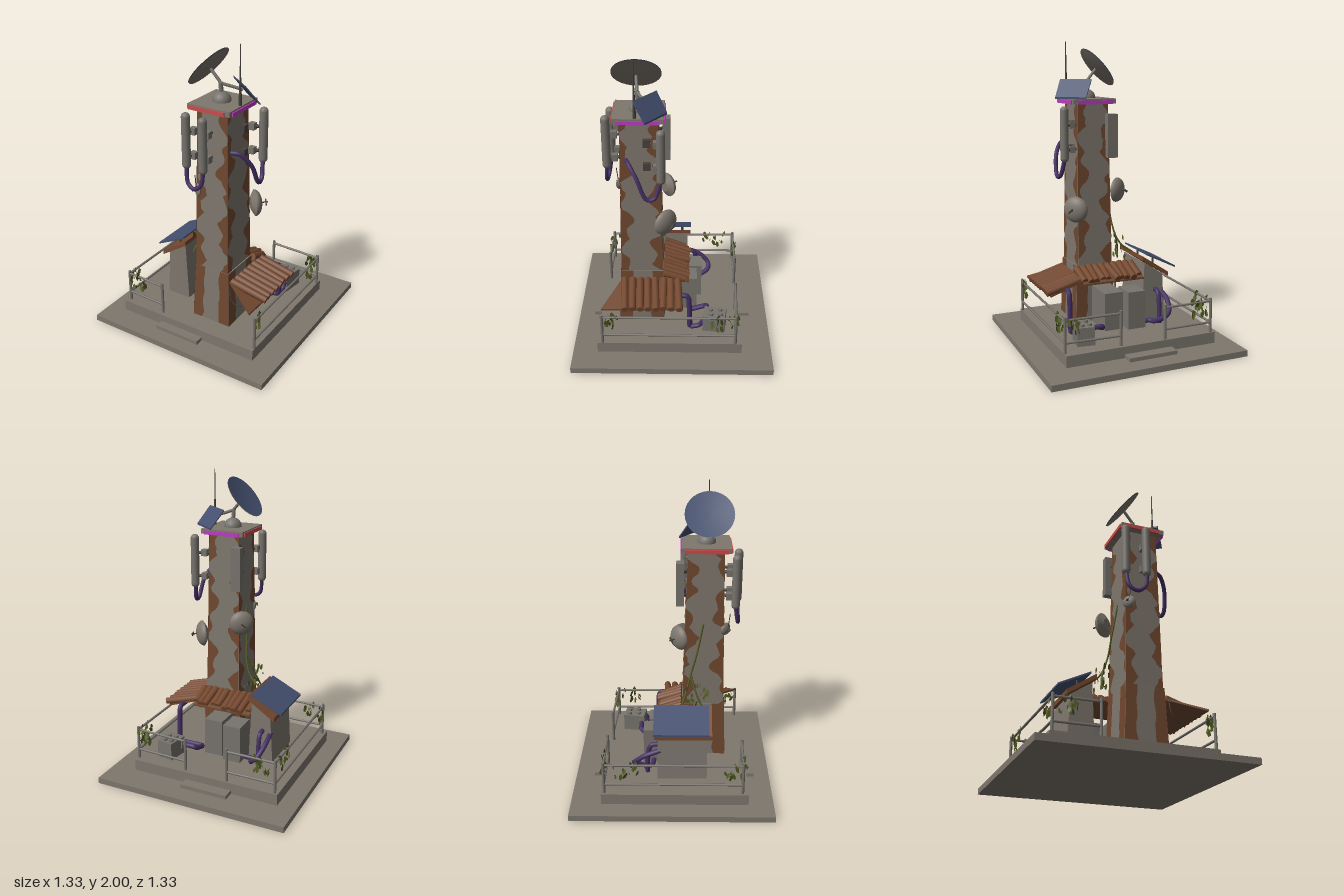
import * as THREE from 'three';
import { ConvexGeometry } from 'three/addons/geometries/ConvexGeometry.js';
import { mergeGeometries } from 'three/addons/utils/BufferGeometryUtils.js';

export function createModel() {
  const root = new THREE.Group();
  root.name = 'radioTower';
  const V = (a) => new THREE.Vector3(...a);
  const UP = V([0, 1, 0]);
  const mat = (name, color, double) => {
    const m = new THREE.MeshStandardMaterial({ color });
    m.name = name;
    if (double) m.side = THREE.DoubleSide;
    return m;
  };
  const concrete = mat('concrete', 0x7e776e, true), metal = mat('metal', 0x77736d);
  const rust = mat('rust', 0x70482f, true), roofBrown = mat('roofBrown', 0x774a30);
  const solar = mat('solarBlue', 0x44506f, true), purple = mat('cablePurple', 0x453064);
  const green = mat('leafGreen', 0x505a20, true), red = mat('redTrim', 0xc84c4c);
  const magenta = mat('magentaTrim', 0xbc3cc0), dark = mat('darkMetal', 0x45423f);
  let seed = 7;
  const rnd = () => (seed = (seed * 16807) % 2147483647) / 2147483647;

  // ---- helpers ----
  const add = (name, geo, m, parent = root) => {
    const mesh = new THREE.Mesh(geo, m);
    mesh.name = name;
    parent.add(mesh);
    return mesh;
  };
  const box = (name, m, x0, x1, y0, y1, z0, z1) => {
    const b = add(name, new THREE.BoxGeometry(x1 - x0, y1 - y0, z1 - z0), m);
    b.position.set((x0 + x1) / 2, (y0 + y1) / 2, (z0 + z1) / 2);
    return b;
  };
  const hull = (name, m, pts) => add(name, new ConvexGeometry(pts.map(V)), m);
  const slab = (name, m, pts, t) => hull(name, m, [...pts, ...pts.map(([x, y, z]) => [x, y - t, z])]);
  const beam = (name, m, a, b, r, r2 = r, seg = 8) => {
    const p = V(a), d = V(b).sub(p);
    const c = add(name, new THREE.CylinderGeometry(r2, r, d.length(), seg), m);
    c.position.copy(p).addScaledVector(d, 0.5);
    c.quaternion.setFromUnitVectors(UP, d.normalize());
    return c;
  };
  const tube = (name, m, pts, r, tension = 0.5) =>
    add(name, new THREE.TubeGeometry(new THREE.CatmullRomCurve3(pts.map(V), false, 'catmullrom', tension), pts.length * 7, r, 8), m);
  const leaves = (name, c, spread, n, size = 0.02) => {
    const parts = [];
    for (let i = 0; i < n; i++) {
      const g = new THREE.CircleGeometry(size * (0.6 + rnd() * 0.7), 5);
      g.scale(0.6, 1.2, 1);
      g.rotateY(rnd() * 6.3).rotateX(rnd() - 0.5);
      g.translate(...c.map((v, k) => v + (rnd() - 0.5) * spread[k]));
      parts.push(g);
    }
    add(name, mergeGeometries(parts), green);
  };

  // ---- ground slabs and steps ----
  box('basePlate', concrete, -0.665, 0.665, 0, 0.04, -0.665, 0.665);
  box('platform', concrete, -0.54, 0.5, 0.04, 0.115, -0.465, 0.5);
  box('backStep', concrete, -0.22, 0.11, 0.04, 0.065, -0.54, -0.465);
  box('frontStep', concrete, -0.22, 0.11, 0.04, 0.065, 0.5, 0.56);

  // ---- tapered tower with rust creeping along its corners ----
  const ring = ([x0, x1, z0, z1], y) => [[x0, y, z1], [x1, y, z1], [x1, y, z0], [x0, y, z0]];
  const tower = (name, lo, y0, hi, y1, steps, width) => {
    const a = ring(lo, y0), b = ring(hi, y1);
    hull(name, concrete, [...a, ...b]);
    const pos = [], idx = [];
    for (let f = 0; f < 4; f++) for (const side of [0, 1]) {
      const base = pos.length / 3, out = [[0, 1], [1, 0], [0, -1], [-1, 0]][f];
      for (let i = 0; i <= steps; i++) {
        const t = i / steps, w = width(t, f, side);
        for (const u of [0, w]) {
          const s = side ? 1 - u : u;
          const at = (r, k) => r[f][k] * (1 - s) + r[(f + 1) % 4][k] * s;
          const p = [0, 1, 2].map((k) => at(a, k) * (1 - t) + at(b, k) * t);
          pos.push(p[0] + out[0] * 0.002, p[1], p[2] + out[1] * 0.002);
        }
        if (i) {
          const q = base + i * 2;
          if (side) idx.push(q - 2, q, q - 1, q - 1, q, q + 1);
          else idx.push(q - 2, q - 1, q, q - 1, q + 1, q);
        }
      }
    }
    const g = new THREE.BufferGeometry();
    g.setAttribute('position', new THREE.Float32BufferAttribute(pos, 3));
    g.setIndex(idx);
    g.computeVertexNormals();
    add(name + 'Rust', g, rust);
  };
  tower('towerBase', [-0.047, 0.235, 0.06, 0.363], 0.115, [-0.03, 0.223, 0.062, 0.348], 0.51, 8,
    () => 0.24 + rnd() * 0.07);
  tower('towerShaft', [-0.028, 0.215, 0.065, 0.345], 0.51, [-0.013, 0.203, 0.093, 0.326], 1.6, 44,
    (t, f, s) => Math.max(0, 0.1 + 0.12 * Math.sin(t * 17 + f * 2.1 + s * 3.3) + 0.1 * Math.sin(t * 41 + f * 5 + s) + rnd() * 0.09));
  box('towerCap', concrete, -0.055, 0.245, 1.597, 1.63, 0.055, 0.37);
  box('frontTrim', red, -0.045, 0.21, 1.597, 1.622, 0.366, 0.378);
  box('leftTrim', red, -0.063, -0.05, 1.597, 1.622, 0.075, 0.35);
  box('rightTrim', magenta, 0.24, 0.253, 1.595, 1.62, 0.08, 0.345);
  box('backTrim', magenta, -0.03, 0.22, 1.595, 1.62, 0.047, 0.06);

  // ---- dishes ----
  const dish = (name, p, n, r, depth, face) => {
    const g = new THREE.Group();
    g.name = name;
    const prof = (o) => [0.001, 0.35, 0.7, 1].map((u) => new THREE.Vector2(u * r, u * u * depth + o));
    add('dishShell', new THREE.LatheGeometry(prof(0), 28), concrete, g);
    add('dishFace', new THREE.LatheGeometry(prof(0.005), 28), face, g);
    g.position.set(...p);
    g.quaternion.setFromUnitVectors(UP, V(n).normalize());
    root.add(g);
    return g;
  };
  dish('mainDish', [0.02, 1.823, 0.228], [-0.77, 0.64, 0], 0.157, 0.014, solar);
  add('dishMount', new THREE.SphereGeometry(0.06, 18, 8, 0, 6.2832, 0, 1.5708), metal).position.set(0.09, 1.63, 0.215);
  beam('dishPole', metal, [0.09, 1.66, 0.215], [0.085, 1.745, 0.22], 0.014);
  beam('dishArm', metal, [0.085, 1.745, 0.22], [0.02, 1.82, 0.228], 0.01);
  beam('panelArm', metal, [0.085, 1.74, 0.22], [0.2, 1.7, 0.15], 0.01);
  const drums = [
    [[-0.055, 1.02, 0.045], [-0.6, 0, -0.8], 0.083],
    [[0.235, 0.905, 0.05], [0.75, 0, -0.66], 0.088],
    [[0, 1.06, 0.345], [-0.7, 0, 0.7], 0.043],
  ];
  for (const [p, n, r] of drums) {
    // convex drum with a feed prong on its face
    const g = new THREE.Group();
    g.name = 'drumDish';
    const cap = add('drumShell', new THREE.SphereGeometry(r, 22, 8, 0, 6.2832, 0, 1.5708), concrete, g);
    cap.scale.y = 0.55;
    add('drumBack', new THREE.CylinderGeometry(r, r * 0.5, r * 0.3, 22), concrete, g).position.y = -r * 0.15;
    add('drumFeed', new THREE.CylinderGeometry(0.005, 0.005, r, 6), dark, g).position.y = r * 0.5;
    add('feedBar', new THREE.BoxGeometry(r * 0.5, 0.008, 0.008), dark, g).position.y = r * 0.85;
    g.position.set(...p);
    g.quaternion.setFromUnitVectors(UP, V(n).normalize());
    root.add(g);
  }

  // ---- rooftop solar panel and whip aerial ----
  slab('roofSolarPanel', solar, [[0.1, 1.757, 0.1], [0.27, 1.757, 0.235], [0.33, 1.642, 0.165], [0.165, 1.642, 0.035]], 0.012);
  beam('aerialBase', dark, [0.23, 1.6, 0.23], [0.23, 1.8, 0.23], 0.012, 0.006);
  beam('aerialTip', dark, [0.23, 1.8, 0.23], [0.23, 2, 0.23], 0.005, 0.003);

  // ---- sector antennas on brackets ----
  for (const [x, z, tx, tz] of [[-0.045, 0.405, 0.01, 0.32], [0.09, 0.425, 0.09, 0.32], [0.303, 0.072, 0.18, 0.13]]) {
    const c = add('sectorAntenna', new THREE.CapsuleGeometry(0.028, 0.31, 5, 14), metal);
    c.position.set(x, 1.403, z);
    for (const y of [1.3, 1.46]) {
      beam('antennaBracket', dark, [x, y, z], [tx, y, tz], 0.011);
      const m = [(x + tx) / 2, (z + tz) / 2];
      box('bracketClamp', metal, m[0] - 0.02, m[0] + 0.02, y - 0.022, y + 0.022, m[1] - 0.02, m[1] + 0.02);
    }
  }
  box('backAntenna', metal, -0.055, 0.015, 1.24, 1.53, 0.02, 0.07);
  for (const y of [1.3, 1.46]) {
    box('sideClamp', dark, 0.195, 0.235, y - 0.025, y + 0.025, 0.14, 0.185);
    beam('backBracket', dark, [-0.02, y, 0.05], [0.03, y, 0.12], 0.011);
  }
  tube('frontCable', purple, [[-0.045, 1.24, 0.405], [-0.03, 1.14, 0.42], [0.025, 1.105, 0.43], [0.08, 1.15, 0.43], [0.09, 1.24, 0.425]], 0.013);
  tube('sideCable', purple, [[0.2, 1.34, 0.295], [0.26, 1.33, 0.27], [0.31, 1.25, 0.22], [0.325, 1.13, 0.17], [0.318, 1.13, 0.11], [0.303, 1.23, 0.075]], 0.014);

  // ---- hut with sloped roof and solar panel ----
  hull('hut', concrete, [-0.1, 0.23].flatMap((z) => [[-0.355, 0.115, z], [-0.18, 0.115, z], [-0.2, 0.53, z], [-0.335, 0.44, z]]));
  slab('hutRoof', roofBrown, [[-0.37, 0.455, -0.12], [-0.18, 0.58, -0.12], [-0.18, 0.58, 0.26], [-0.37, 0.455, 0.26]], 0.03);
  slab('hutSolarPanel', solar, [[-0.42, 0.495, -0.125], [-0.21, 0.597, -0.125], [-0.21, 0.597, 0.24], [-0.42, 0.495, 0.24]], 0.012);
  for (const z of [-0.06, 0.18]) beam('panelStrut', dark, [-0.28, 0.49, z], [-0.28, 0.555, z], 0.008);

  // ---- cabinets behind the tower ----
  box('cabinetLeft', metal, -0.16, -0.035, 0.115, 0.37, -0.2, -0.04);
  box('cabinetRight', metal, -0.01, 0.12, 0.115, 0.37, -0.165, 0.06);

  // ---- tiled awnings ----
  slab('backAwning', rust, [[-0.19, 0.5, 0.06], [0.24, 0.5, 0.06], [0.24, 0.435, -0.11], [-0.19, 0.435, -0.11]], 0.012);
  for (let i = 0; i < 10; i++) {
    const x = -0.165 + i * 0.044, j = (rnd() - 0.5) * 0.025;
    beam('backTile', roofBrown, [x, 0.5 + j * 0.4, 0.06], [x + j, 0.445, -0.12 + rnd() * 0.04], 0.025, 0.022);
  }
  slab('sideAwning', rust, [[0.225, 0.45, -0.06], [0.225, 0.45, 0.34], [0.455, 0.365, 0.47], [0.455, 0.37, -0.06]], 0.012);
  for (let i = 0; i < 8; i++) {
    const z = -0.04 + i * 0.051, j = (rnd() - 0.5) * 0.02;
    beam('sideTile', roofBrown, [0.235, 0.45, z + j], [0.475 + j, 0.385, z - j], 0.025, 0.023);
  }

  // ---- generator box with knobs, and pipes ----
  const gen = box('generator', metal, 0.26, 0.375, 0.115, 0.235, -0.36, -0.21);
  gen.rotation.y = -0.15;
  for (const dx of [-0.025, 0.025]) for (const dz of [-0.035, 0.03])
    beam('generatorKnob', metal, [0.318 + dx, 0.235, -0.29 + dz], [0.318 + dx, 0.25, -0.29 + dz], 0.016);
  box('pipeCoupling', metal, 0.25, 0.285, 0.16, 0.21, -0.26, -0.215);
  tube('generatorPipe', purple, [[0.26, 0.18, -0.235], [0.175, 0.18, -0.235], [0.158, 0.165, -0.215], [0.158, 0.14, -0.14], [0.175, 0.135, -0.118],
    [0.325, 0.135, -0.118], [0.345, 0.16, -0.115], [0.345, 0.36, -0.11], [0.345, 0.395, -0.09], [0.34, 0.4, -0.02]], 0.017, 0.25);
  tube('generatorOutlet', purple, [[0.345, 0.2, -0.21], [0.345, 0.15, -0.18], [0.345, 0.135, -0.12]], 0.016);
  tube('hutPipe', purple, [[-0.33, 0.32, -0.08], [-0.333, 0.28, -0.18], [-0.31, 0.22, -0.25], [-0.265, 0.18, -0.25], [-0.24, 0.14, -0.18], [-0.22, 0.135, -0.14], [-0.15, 0.135, -0.13]], 0.017);
  tube('hutDownPipe', purple, [[-0.28, 0.34, -0.09], [-0.28, 0.32, -0.15], [-0.28, 0.2, -0.17], [-0.28, 0.12, -0.17]], 0.016);

  // ---- railings ----
  const runs = [
    [[-0.515, -0.445], [-0.18, -0.445]], [[-0.515, -0.445], [-0.515, 0.46]], [[-0.515, 0.46], [-0.23, 0.468]],
    [[0.125, -0.435], [0.492, -0.42]], [[0.492, -0.42], [0.492, 0.465]],
  ];
  for (const [a, b] of runs) {
    for (const y of [0.325, 0.18]) beam('rail', metal, [a[0], y, a[1]], [b[0], y, b[1]], 0.008);
    for (const [x, z] of [a, b]) beam('railPost', metal, [x, 0.115, z], [x, 0.345, z], 0.01);
  }

  // ---- vines and hanging wires ----
  tube('towerVine', green, [[-0.02, 1.1, 0.2], [-0.045, 0.9, 0.16], [-0.06, 0.75, 0.12], [-0.1, 0.64, 0.09], [-0.18, 0.575, 0.06]], 0.006);
  tube('hangingVine', green, [[-0.06, 0.75, 0.12], [-0.11, 0.62, 0.16], [-0.14, 0.5, 0.22]], 0.006);
  leaves('towerLeaves', [-0.11, 0.6, 0.15], [0.08, 0.2, 0.18], 22, 0.016);
  tube('hangingWire', dark, [[0.245, 0.43, 0.36], [0.255, 0.35, 0.37], [0.3, 0.3, 0.36], [0.36, 0.3, 0.3]], 0.003);
  beam('drumWire', dark, [-0.005, 1.08, 0.365], [-0.005, 1.17, 0.375], 0.003);
  const clusters = [
    [-0.42, -0.45, 0.13, 0.02], [-0.52, -0.3, 0.02, 0.16], [-0.52, 0.4, 0.02, 0.12], [-0.42, 0.468, 0.14, 0.02],
    [0.44, -0.43, 0.08, 0.02], [0.492, -0.33, 0.02, 0.14], [0.492, 0.4, 0.02, 0.1],
  ];
  for (const [x, z, sx, sz] of clusters) leaves('railLeaves', [x, 0.285, z], [sx, 0.1, sz], 14);
  return root;
}
